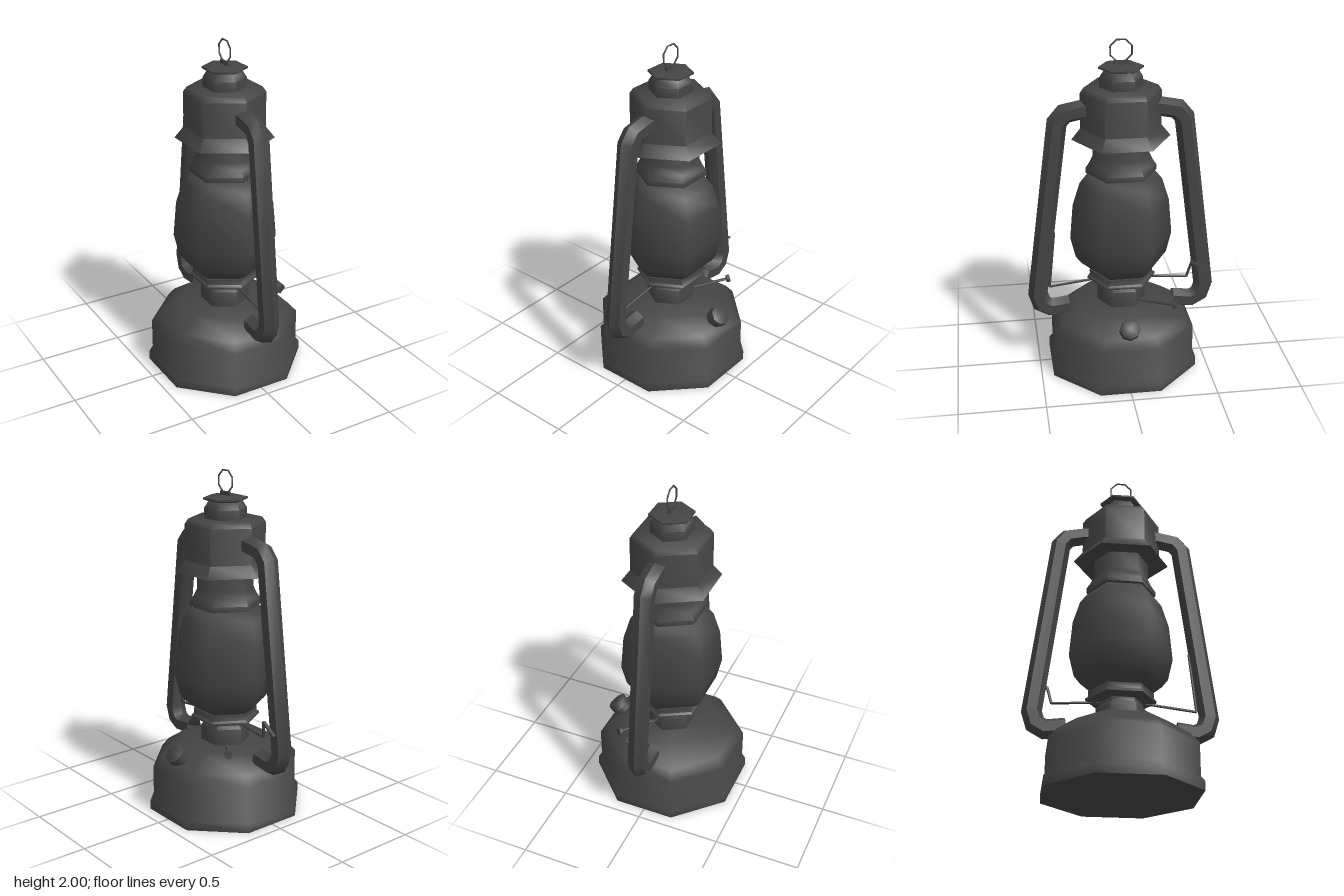
import * as THREE from 'three';
import { toCreasedNormals } from 'three/addons/utils/BufferGeometryUtils.js';

const V = (x, y, z) => new THREE.Vector3(x, y, z);

export function createModel() {
  const group = new THREE.Group();
  const metal = new THREE.MeshStandardMaterial({ color: 0x444444, side: THREE.DoubleSide });

  const add = (name, geometry, crease = 1.1) => {
    const mesh = new THREE.Mesh(toCreasedNormals(geometry, crease), metal);
    mesh.name = name;
    group.add(mesh);
    return mesh;
  };

  // Faceted turned part; profile is [radius, y] from bottom to top
  const turned = (name, sides, profile) => add(name, new THREE.LatheGeometry(
    profile.map(([r, y]) => new THREE.Vector2(r, y)), sides, sides === 8 ? Math.PI / 8 : 0));

  // Straight rod between two points
  const rod = (name, a, b, r0, r1 = r0, sides = 6) => {
    const mesh = add(name, new THREE.CylinderGeometry(r1, r0, a.distanceTo(b), sides));
    mesh.position.copy(a).add(b).multiplyScalar(0.5);
    mesh.quaternion.setFromUnitVectors(V(0, 1, 0), b.clone().sub(a).normalize());
    return mesh;
  };
  const wire = (name, points, r) => {
    for (let i = 1; i < points.length; i++) rod(name + i, points[i - 1], points[i], r);
  };

  // Fuel tank, octagonal with flats facing the axes
  const k = 1 / Math.cos(Math.PI / 8);
  turned('fuelTank', 8, [[0, 0], [0.43, 0], [0.43, 0.055], [0.41, 0.08], [0.41, 0.27],
    [0.365, 0.325], [0.256, 0.405], [0, 0.405]].map(([r, y]) => [r * k, y]));

  // Burner and the plate carrying the globe
  turned('burner', 6, [[0.143, 0.39], [0.143, 0.5], [0.125, 0.52], [0.125, 0.545]]);
  turned('globePlate', 6, [[0, 0.54], [0.18, 0.54], [0.203, 0.55], [0.203, 0.562],
    [0.188, 0.57], [0.188, 0.605], [0, 0.605]]);

  // Globe
  turned('globe', 6, [[0, 0.605], [0.18, 0.607], [0.235, 0.65], [0.27, 0.695], [0.3, 0.82],
    [0.282, 1.03], [0.24, 1.165], [0.2, 1.215], [0, 1.215]]);

  // Chimney, hood and cap
  turned('chimney', 6, [[0, 1.225], [0.205, 1.225], [0.205, 1.255], [0.182, 1.29], [0.163, 1.33], [0.163, 1.5]]);
  turned('hood', 6, [[0.163, 1.435], [0.283, 1.43], [0.231, 1.495], [0.231, 1.7], [0.21, 1.73], [0, 1.73]]);
  turned('capNeck', 6, [[0.122, 1.72], [0.122, 1.785], [0.1, 1.82], [0.085, 1.835]]);
  turned('cap', 6, [[0, 1.823], [0.09, 1.823], [0.127, 1.835], [0.127, 1.845], [0.085, 1.856], [0, 1.856]]);

  // Hanging loop on a small lug
  const lug = add('loopLug', new THREE.BoxGeometry(0.014, 0.025, 0.08));
  lug.position.y = 1.865;
  const loop = add('hangingLoop', new THREE.TorusGeometry(0.063, 0.005, 5, 8));
  loop.rotation.set(0, Math.PI / 2, 0);
  loop.rotateZ(Math.PI / 8);
  loop.position.y = 1.934;
  loop.scale.setScalar(1.03);

  // Side tubes: hexagonal section swept with mitred corners in the yz plane
  const sideTube = (name, side) => {
    const path = [[0.17, 1.61], [0.23, 1.603], [0.32, 1.585], [0.362, 1.535], [0.5, 0.47],
      [0.478, 0.4], [0.425, 0.37], [0.31, 0.385]].map(([z, y]) => new THREE.Vector2(z, y));
    const positions = [], index = [], R = 0.057;
    path.forEach((p, i) => {
      const inDir = p.clone().sub(path[Math.max(i - 1, 0)]).normalize();
      const outDir = path[Math.min(i + 1, path.length - 1)].clone().sub(p).normalize();
      const t = inDir.clone().add(outDir).normalize();
      const miter = 1 / Math.max(t.dot(i ? inDir : outDir), 0.7);
      for (let j = 0; j < 6; j++) {
        const a = j * Math.PI / 3, n = Math.cos(a) * R * miter;
        positions.push(Math.sin(a) * R * side, p.y + t.x * n, (p.x - t.y * n) * side);
        if (i) {
          const c = i * 6 + j, d = i * 6 + (j + 1) % 6;
          index.push(c - 6, d - 6, c, d - 6, d, c);
        }
      }
    });
    const geometry = new THREE.BufferGeometry();
    geometry.setAttribute('position', new THREE.Float32BufferAttribute(positions, 3));
    geometry.setIndex(index);
    // Turn the faces outward if the sweep ran the other way
    const at = i => V().fromArray(positions, i * 3);
    const [a, b, c] = index.slice(0, 3).map(at);
    const mid = V(0, path[0].y, path[0].x * side);
    if (b.clone().sub(a).cross(c.clone().sub(a)).dot(a.clone().add(b).multiplyScalar(0.5).sub(mid)) < 0) {
      geometry.setIndex(index.reverse());
    }
    add(name, geometry, 0.8);
  };
  sideTube('frontTube', 1);
  sideTube('backTube', -1);

  // Filler neck and cap, tilted outward on the left shoulder
  const s = Math.SQRT1_2;
  const along = d => V(0.383 - d * s, 0.407 - d * s, 0);
  rod('fillerNeck', along(0.14), along(0.045), 0.052, 0.048, 8);
  rod('fillerCap', along(0.055), along(0.008), 0.06, 0.06, 8);
  rod('fillerCapTop', along(0.008), along(0), 0.06, 0.05, 8);

  // Wick adjuster
  const knob = V(0.215, 0.445, -0.292), wickStart = V(0.06, 0.418, -0.07);
  const axis = knob.clone().sub(wickStart).normalize().multiplyScalar(0.009);
  rod('wickRod', wickStart, knob, 0.008);
  rod('wickKnob', knob.clone().sub(axis), knob.clone().add(axis), 0.024, 0.024, 8);

  // Globe wire and lifting lever
  wire('frontWire', [V(0, 0.545, 0.12), V(0, 0.507, 0.43), V(0, 0.86, 0.395)], 0.008);
  wire('liftWire', [V(0, 0.54, -0.12), V(0.04, 0.54, -0.39), V(0.062, 0.645, -0.415)], 0.008);
  const lever = add('liftLever', new THREE.BoxGeometry(0.02, 0.012, 0.11));
  lever.position.set(0.062, 0.613, -0.46);
  lever.rotation.x = -0.59;

  return group;
}
